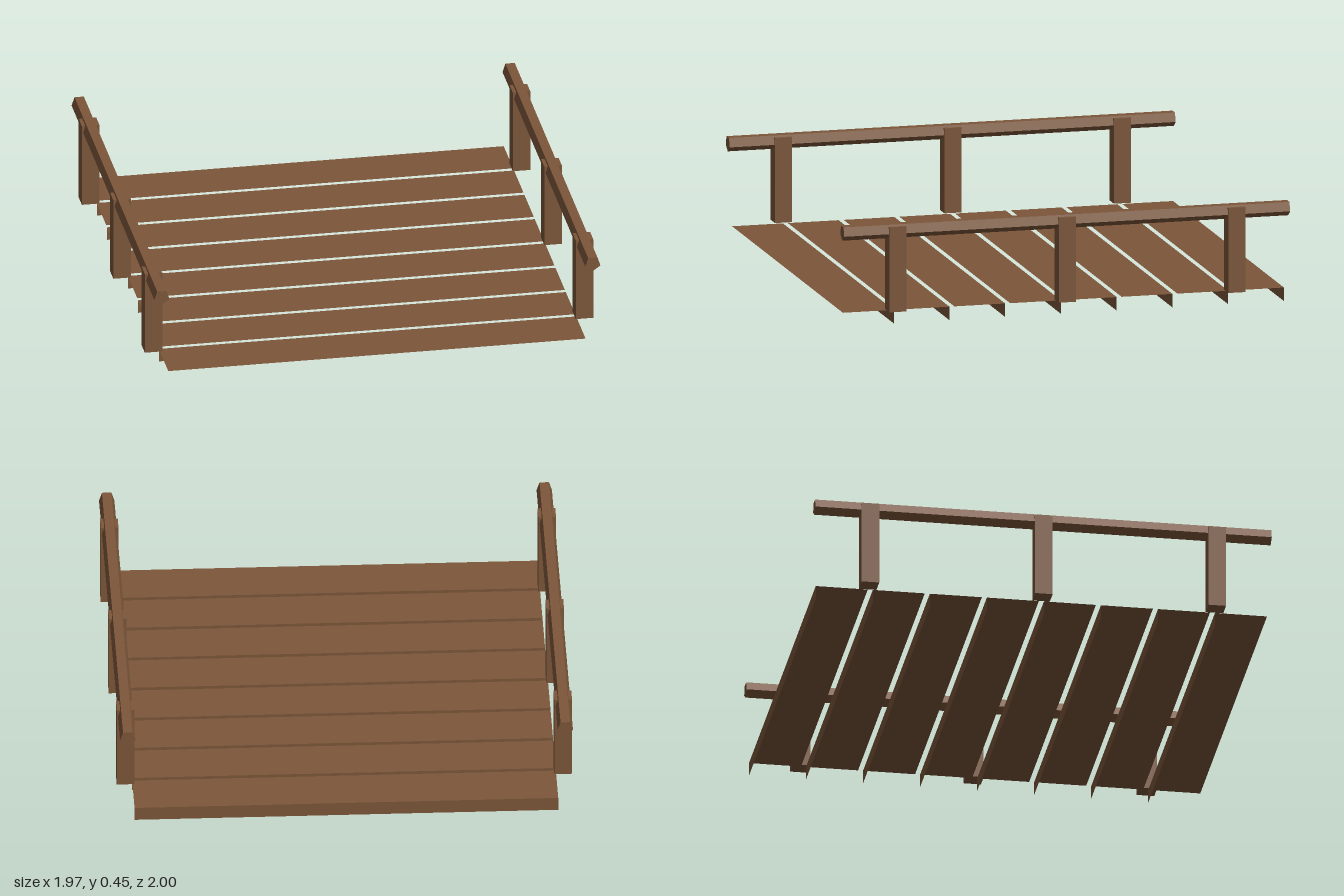
import * as THREE from 'three';

const PLANKS = 8, PITCH = 0.25, PLANK_DEPTH = 0.228, PLANK_WIDTH = 1.836, DECK_Y = 0.06;

export function createModel() {
  const model = new THREE.Group();
  model.name = 'woodenBridge';
  const wood = new THREE.MeshStandardMaterial({ color: 0x7c563a, flatShading: true, side: THREE.DoubleSide });
  wood.name = 'brown wood';

  const add = (parent, geometry, name, x, y, z) => {
    const mesh = new THREE.Mesh(geometry, wood);
    mesh.name = name;
    mesh.position.set(x, y, z);
    parent.add(mesh);
    return mesh;
  };

  // Deck: each plank is a thin top sheet with a lip folded down along its back edge
  const deck = new THREE.Group();
  deck.name = 'deck';
  model.add(deck);
  const top = new THREE.PlaneGeometry(PLANK_WIDTH, PLANK_DEPTH).rotateX(-Math.PI / 2);
  const lip = new THREE.PlaneGeometry(PLANK_WIDTH, DECK_Y).rotateY(Math.PI);
  for (let i = 0; i < PLANKS; i++) {
    const z = (i - (PLANKS - 1) / 2) * PITCH;
    const plank = new THREE.Group();
    plank.name = 'plank';
    plank.position.z = z;
    deck.add(plank);
    add(plank, top, 'plankTop', 0, DECK_Y, 0);
    add(plank, lip, 'plankBackLip', 0, DECK_Y / 2, -PLANK_DEPTH / 2);
  }

  // Railings: five-sided handrail, flat side up, on three square posts
  const postGeometry = new THREE.BoxGeometry(0.077, 0.376, 0.077);
  const profile = new THREE.Shape();
  for (let i = 0; i < 5; i++) {
    const a = -Math.PI / 2 + (i * Math.PI * 2) / 5;
    const x = 0.035 * Math.cos(a), y = 0.035 * Math.sin(a);
    if (i === 0) profile.moveTo(x, y);
    else profile.lineTo(x, y);
  }
  profile.closePath();
  const railGeometry = new THREE.ExtrudeGeometry(profile, { depth: 2, bevelEnabled: false });
  railGeometry.translate(0, 0, -1);

  for (const side of [1, -1]) {
    const railing = new THREE.Group();
    railing.name = side > 0 ? 'leftRailing' : 'rightRailing';
    model.add(railing);
    add(railing, railGeometry, 'handrail', side * 0.948, 0.421, 0);
    for (const z of [0.76, 0, -0.76]) add(railing, postGeometry, 'post', side * 0.948, 0.253, z);
  }
  return model;
}
